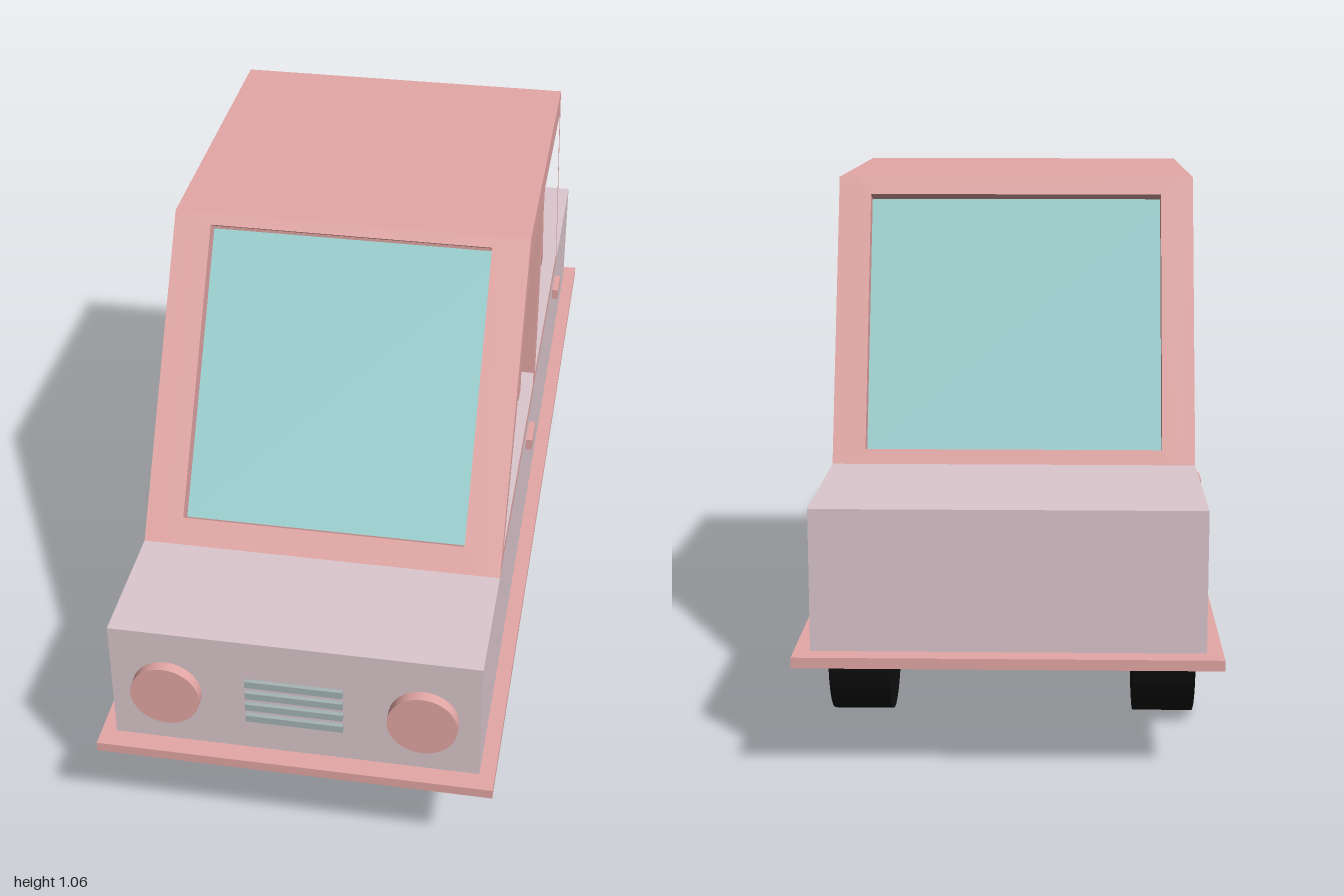
import * as THREE from 'three';

const mat = (color, extra = {}) => new THREE.MeshStandardMaterial({ color, ...extra });
const paint = mat(0xdcc8ce);
const trim = mat(0xe4a8a6);
const glass = mat(0x9bd0d0);
const rubber = mat(0x111111);
const hubMat = mat(0xe2d6d3);
const grilleMat = mat(0xa6b4b4);

const WALL = 0.035; // thickness of the cabin frame
const HALF = 0.36; // half width of body and cabin

export function createModel() {
  const car = new THREE.Group();
  car.name = 'car';

  const add = (name, geometry, material, x = 0, y = 0, z = 0) => {
    const mesh = new THREE.Mesh(geometry, material);
    mesh.name = name;
    mesh.position.set(x, y, z);
    car.add(mesh);
    return mesh;
  };
  const box = (name, material, w, h, d, x, y, z) =>
    add(name, new THREE.BoxGeometry(w, h, d), material, x, y, z);

  // Flat plate with window openings, thickness along +z
  const plate = (outline, holes, depth) => {
    const toVec = (list) => list.map(([a, b]) => new THREE.Vector2(a, b));
    const shape = new THREE.Shape(toVec(outline));
    holes.forEach((h) => shape.holes.push(new THREE.Path(toVec(h))));
    return new THREE.ExtrudeGeometry(shape, { depth, bevelEnabled: false });
  };
  // The same plate drawn in (z, y) and extruded across x, centred on x = 0
  const sidePlate = (outline, holes, width) => {
    const flipped = (list) => list.map(([z, y]) => [-z, y]);
    return plate(flipped(outline), holes.map(flipped), width)
      .translate(0, 0, -width / 2)
      .rotateY(Math.PI / 2);
  };

  // Lower body and sill plate
  box('body', paint, HALF * 2, 0.268, 1.92, 0, 0.366, 0);
  box('sillPlate', trim, 0.78, 0.02, 2, 0, 0.225, 0);

  // Cabin sides with two windows each
  const profile = [[0.69, 0.5], [0.315, 1.055], [-0.375, 1.055], [-0.58, 0.5]];
  const frontWindow = [[0.635, 0.527], [0.285, 0.995], [0.04, 0.995], [0.04, 0.527]];
  const rearWindow = [[-0.01, 0.527], [-0.01, 0.995], [-0.375, 0.995], [-0.555, 0.527]];
  for (const side of [-1, 1]) {
    add('cabinSide', sidePlate(profile, [frontWindow, rearWindow], WALL), trim,
      side * (HALF - WALL / 2));
  }

  // Sloping front and rear frames, each with one opening
  const inner = HALF - WALL + 0.001;
  const slopedFrame = (name, baseZ, run, halfOpening, low, high, turn) => {
    const rise = 0.555;
    const length = Math.hypot(run, rise);
    const geometry = plate(
      [[-inner, 0], [inner, 0], [inner, length], [-inner, length]],
      [[[-halfOpening, low], [-halfOpening, high], [halfOpening, high], [halfOpening, low]]],
      WALL
    );
    geometry.translate(0, 0, -WALL).rotateX(-Math.atan2(run, rise)).rotateY(turn);
    add(name, geometry, trim, 0, 0.5, baseZ);
  };
  slopedFrame('windscreenFrame', 0.69, 0.375, 0.285, 0.054, 0.646, 0);
  slopedFrame('rearWindowFrame', -0.58, 0.205, 0.295, 0.03, 0.555, Math.PI);

  // Roof and recessed glass block
  box('roof', trim, inner * 2, WALL, 0.69, 0, 1.055 - WALL / 2, -0.03);
  add('glass', sidePlate(
    [[0.648, 0.5], [0.297, 1.02], [-0.35, 1.02], [-0.543, 0.5]], [], (HALF - WALL) * 2
  ), glass);
  box('innerPillar', trim, 0.01, 0.5, 0.045, HALF - WALL + 0.003, 0.76, 0.0615);

  // Headlights
  for (const x of [-0.25, 0.25]) {
    add('headlight', new THREE.CylinderGeometry(0.068, 0.068, 0.03, 32).rotateX(Math.PI / 2),
      trim, x, 0.362, 0.967);
  }

  // Grille bars
  for (let i = 0; i < 4; i++) {
    box('grilleBar', grilleMat, 0.19, 0.015, 0.014, 0, 0.404 - i * 0.029, 0.962);
  }

  // Door handles
  for (const side of [-1, 1]) {
    for (const z of [0.13, -0.52]) {
      box('doorHandle', trim, 0.02, 0.025, 0.072, side * 0.364, 0.453, z);
    }
  }

  // Wheels with hubs
  for (const side of [-1, 1]) {
    for (const z of [0.605, -0.575]) {
      add('tyre', new THREE.CylinderGeometry(0.154, 0.154, 0.118, 32).rotateZ(Math.PI / 2),
        rubber, side * 0.298, 0.154, z);
      add('hub', new THREE.CylinderGeometry(0.068, 0.068, 0.02, 32).rotateZ(Math.PI / 2),
        hubMat, side * 0.351, 0.163, z);
    }
  }

  return car;
}
